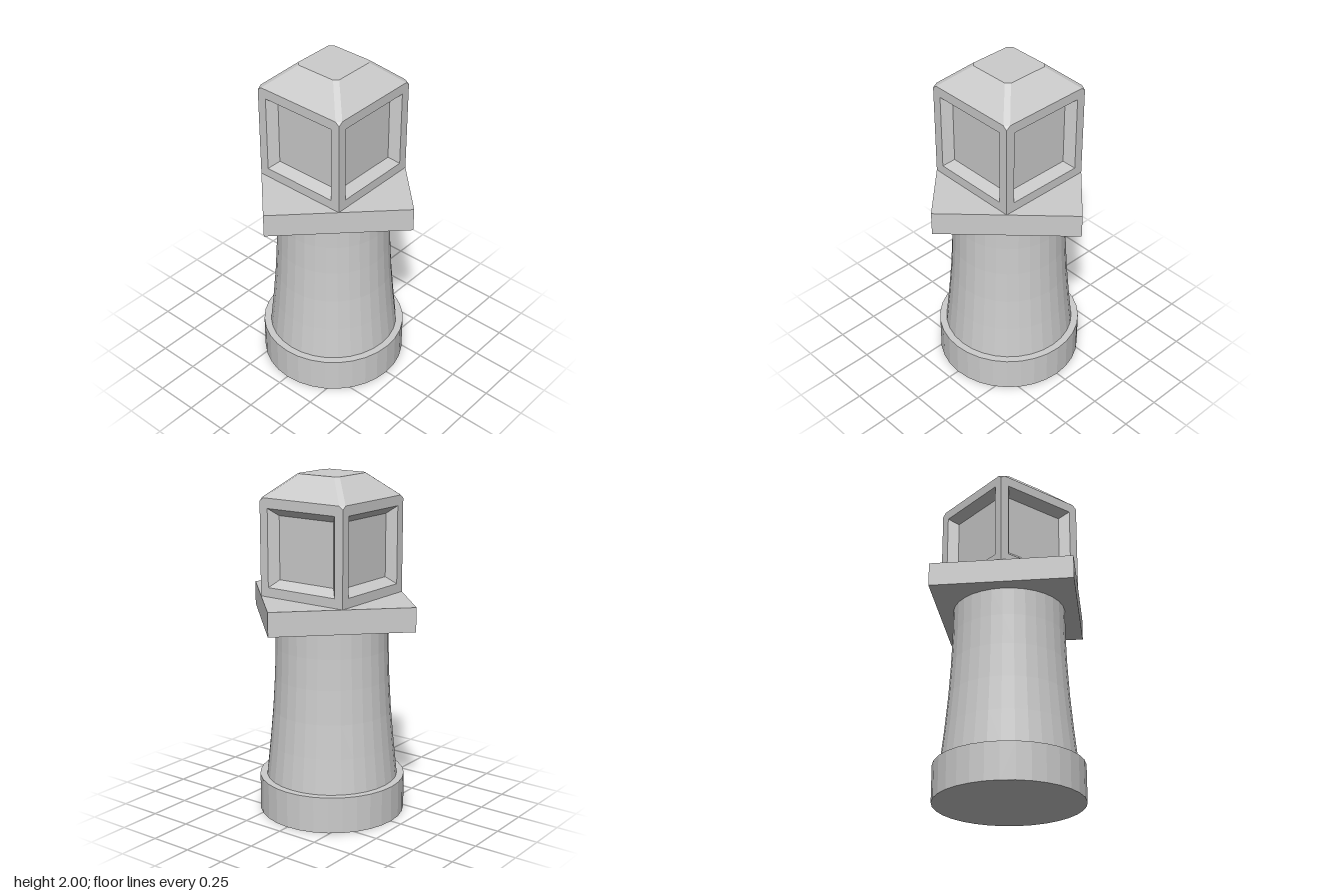
import * as THREE from 'three';
import { ConvexGeometry } from 'three/addons/geometries/ConvexGeometry.js';

const material = new THREE.MeshStandardMaterial({ color: 0xcccccc, flatShading: true });
const SEGMENTS = 32;
const HALF = 0.29;       // half width of the lantern room
const LANTERN_Y = 1.305; // floor of the lantern room
const EAVE = 1.85;       // top of the lantern walls

function part(name, geometry, parent) {
  const mesh = new THREE.Mesh(geometry, material);
  mesh.name = name;
  parent.add(mesh);
  return mesh;
}

// Corners of an upright rectangle facing +z, counter-clockwise
const rect = (w, y0, y1, z) => [[-w, y0, z], [w, y0, z], [w, y1, z], [-w, y1, z]];

// Sloped reveal between two rectangles, closed by a flat pane
function recessGeometry(outer, inner) {
  const pos = [];
  const quad = (a, b, c, d) => pos.push(...a, ...b, ...c, ...a, ...c, ...d);
  for (let i = 0; i < 4; i++) {
    const j = (i + 1) % 4;
    quad(outer[i], outer[j], inner[j], inner[i]);
  }
  quad(...inner);
  const g = new THREE.BufferGeometry();
  g.setAttribute('position', new THREE.Float32BufferAttribute(pos, 3));
  g.computeVertexNormals();
  return g;
}

// Flat wall with a window opening
function frameGeometry(opening) {
  const toPoints = (r) => r.map(([x, y]) => new THREE.Vector2(x, y));
  const shape = new THREE.Shape(toPoints(rect(HALF, LANTERN_Y, EAVE, 0)));
  shape.holes.push(new THREE.Path(toPoints(opening).reverse()));
  return new THREE.ShapeGeometry(shape).translate(0, 0, HALF);
}

// Hipped roof with narrow bevels along the hips
function roofGeometry() {
  const points = [];
  for (const sx of [-1, 1]) {
    for (const sz of [-1, 1]) {
      const add = (x, y, z) => points.push(new THREE.Vector3(sx * x, y, sz * z));
      add(HALF, EAVE, HALF);
      add(HALF, 1.87, 0.265);
      add(0.265, 1.87, HALF);
      add(0.145, 2, 0.122);
      add(0.122, 2, 0.145);
    }
  }
  return new ConvexGeometry(points);
}

export function createModel() {
  const model = new THREE.Group();
  model.name = 'lighthouse';

  // Round plinth
  part('base', new THREE.CylinderGeometry(0.43, 0.43, 0.215, SEGMENTS), model).position.y = 0.1075;

  // Tapering tower
  const profile = [[0.388, 0.215], [0.366, 0.42], [0.348, 0.62], [0.336, 0.82], [0.33, 1.0], [0.329, 1.165]];
  part('tower', new THREE.LatheGeometry(profile.map(([r, y]) => new THREE.Vector2(r, y)), SEGMENTS), model);

  // Square gallery turned 45 degrees
  const side = 0.58 * Math.SQRT2;
  const gallery = part('gallery', new THREE.BoxGeometry(side, 0.14, side), model);
  gallery.position.y = 1.235;
  gallery.rotation.y = Math.PI / 4;

  // Four identical lantern walls with recessed windows
  const opening = rect(0.235, 1.36, 1.812, HALF);
  const pane = rect(0.19, 1.403, 1.77, HALF - 0.05);
  const frame = frameGeometry(opening);
  const recess = recessGeometry(opening, pane);
  for (let i = 0; i < 4; i++) {
    const wall = new THREE.Group();
    wall.name = 'lanternWall';
    wall.rotation.y = i * Math.PI / 2;
    part('windowFrame', frame, wall);
    part('windowRecess', recess, wall);
    model.add(wall);
  }

  part('roof', roofGeometry(), model);
  return model;
}
